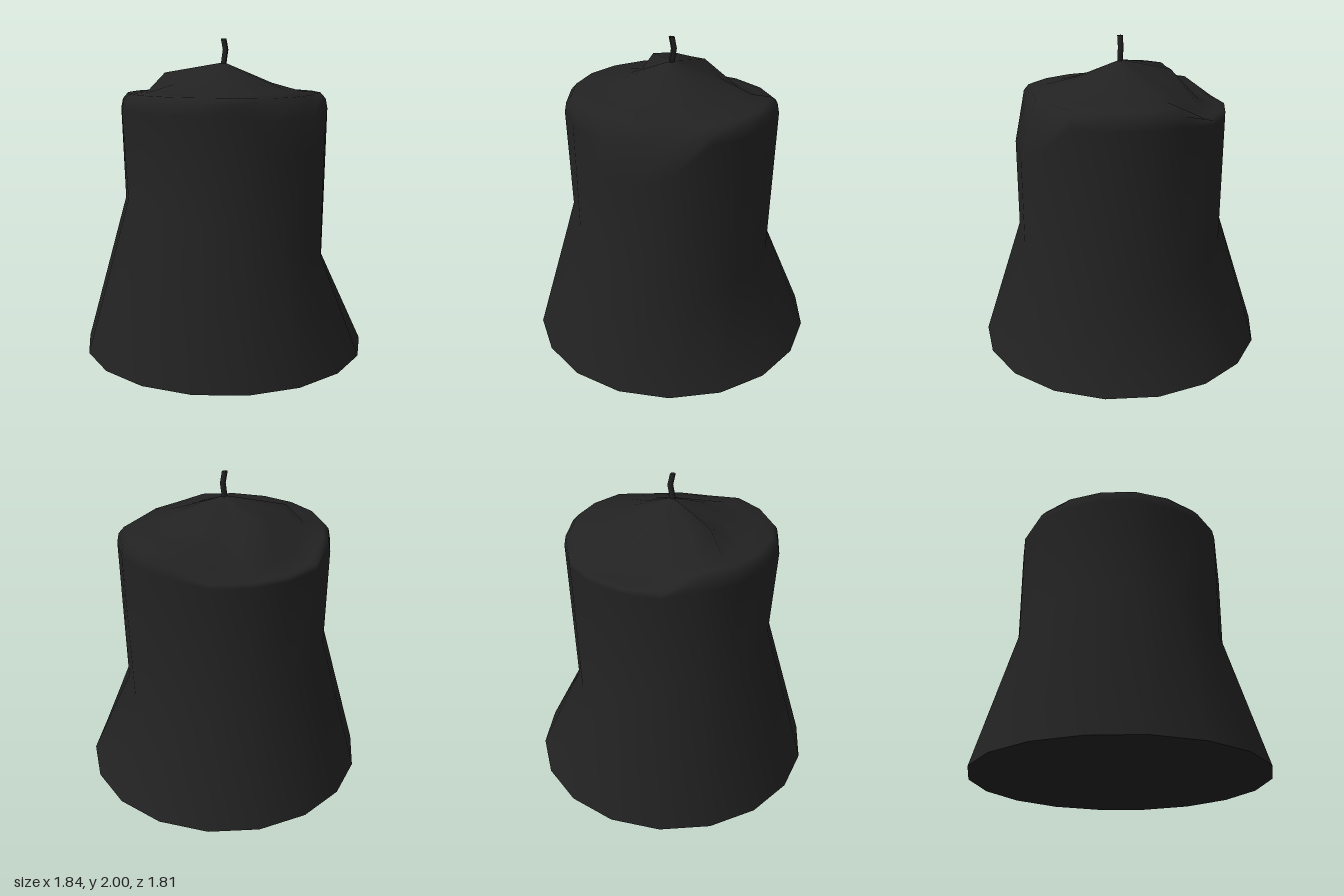
import * as THREE from 'three';

const SIDES = 18;
const WAX = 0x222222;

// Wax outline at one angle (degrees), from the foot up to the wick: [radius, height] pairs
function waxSection(deg) {
  const a = THREE.MathUtils.degToRad(deg), c = Math.cos(a), s = Math.sin(a);
  const section = [
    [0.92, 0],
    [0.635 + 0.035 * s * s, 0.78 - 0.215 * c - 0.04 * s], // slanted waist
    [0.667, 1.56],                                        // shoulder
    [0.655, 1.62],
    [0.62, 1.66],                                         // rim
    [0.49, 1.67],
    [0.31, 1.72],
    [0, 1.85],
  ];
  // melted slope at the front
  if (deg >= 60 && deg <= 100) {
    section[2] = [0.67, { 60: 1.38, 80: 1.3, 100: 1.34 }[deg]];
    section[3] = [0.6, 1.52];
    section[4] = [0.56, 1.65];
    section[5] = [0.44, 1.67];
  }
  // notch in the rim at the back
  if (deg >= 260 && deg <= 320) {
    section[2] = [0.67, 1.53];
    section[3] = [0.67, 1.56];
    section[4] = [0.62, 1.56];
    section[5] = [0.5, 1.59];
  }
  // raised lump beside the notch
  if (deg >= 220 && deg <= 280) section[6] = [deg < 250 ? 0.38 : 0.32, 1.785];
  return section;
}

function waxGeometry() {
  const positions = [], index = [];
  const sections = Array.from({ length: SIDES }, (_, j) => waxSection(j * 360 / SIDES));
  const rings = sections[0].length;
  for (let i = 0; i < rings; i++) {
    for (let j = 0; j < SIDES; j++) {
      const a = j / SIDES * Math.PI * 2, [r, y] = sections[j][i];
      positions.push(r * Math.cos(a), y, r * Math.sin(a));
      if (i === rings - 1) continue;
      const k = (j + 1) % SIDES;
      const p = i * SIDES + j, q = i * SIDES + k;
      index.push(p, p + SIDES, q);
      // the last ring closes to a point
      if (i < rings - 2) index.push(q, p + SIDES, q + SIDES);
    }
  }
  const g = new THREE.BufferGeometry();
  g.setAttribute('position', new THREE.Float32BufferAttribute(positions, 3));
  g.setIndex(index);
  g.computeVertexNormals();
  return g;
}

export function createModel() {
  const group = new THREE.Group();
  group.name = 'meltedCandle';
  const add = (name, geometry, color) => {
    const mesh = new THREE.Mesh(geometry, new THREE.MeshStandardMaterial({ color }));
    mesh.name = name;
    group.add(mesh);
    return mesh;
  };

  add('waxBody', waxGeometry(), WAX);

  // flat underside
  const base = add('base', new THREE.CircleGeometry(0.92, SIDES), WAX);
  base.rotation.x = Math.PI / 2;

  // wick with a kink halfway up
  const wick = new THREE.CylinderGeometry(0.018, 0.018, 0.16, 6, 2);
  wick.translate(0, 1.92, 0);
  const pos = wick.attributes.position;
  for (let i = 0; i < pos.count; i++) {
    if (Math.abs(pos.getY(i) - 1.92) < 0.01) pos.setXYZ(i, pos.getX(i) + 0.013, 1.93, pos.getZ(i));
    else pos.setX(i, pos.getX(i) - 0.003);
  }
  wick.computeVertexNormals();
  add('wick', wick, WAX);

  return group;
}
